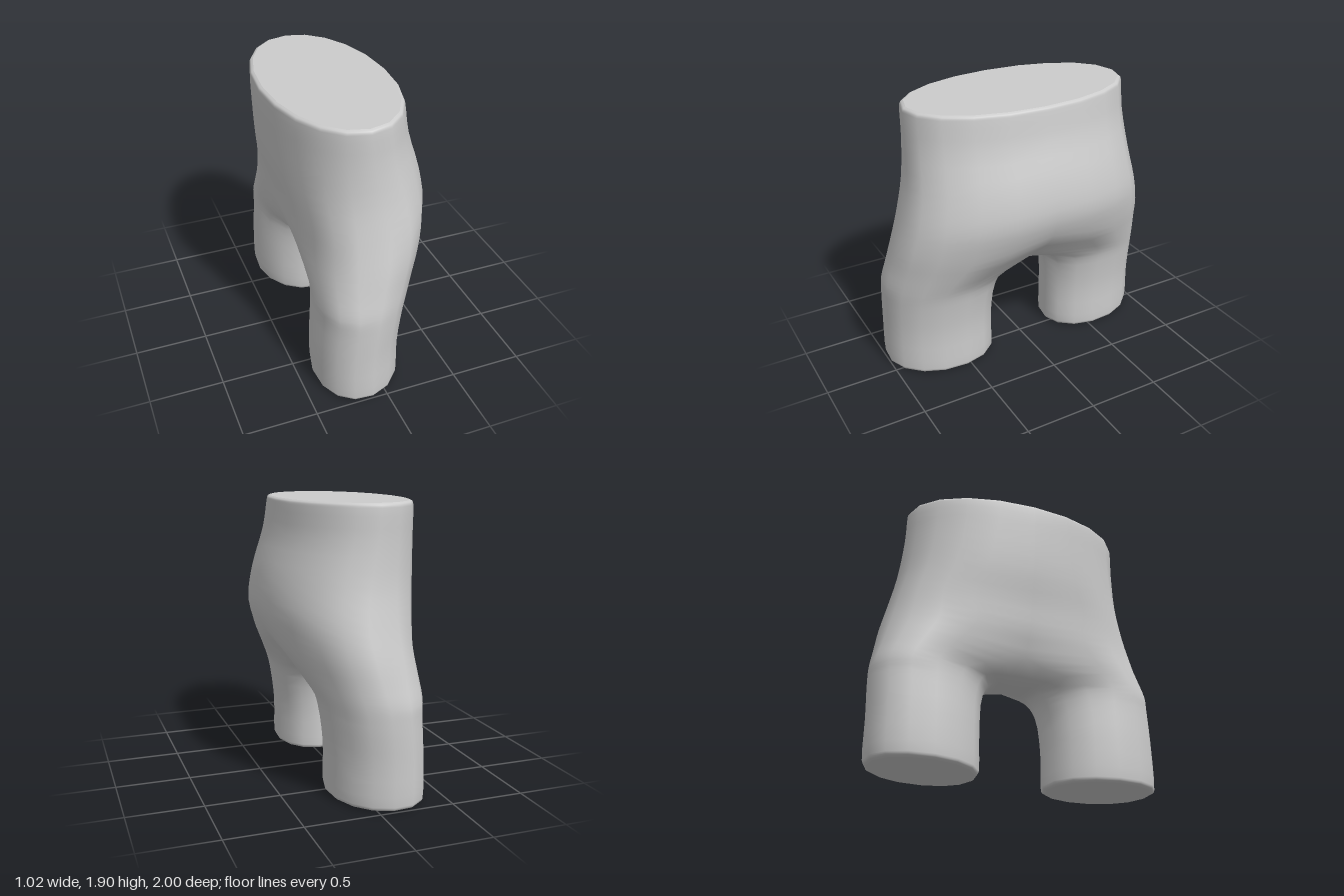
import * as THREE from 'three';
import { mergeVertices } from 'three/addons/utils/BufferGeometryUtils.js';

const OUTER = 10, INNER = 5, AROUND = OUTER + INNER, SUB = 3;
const LEG_Z = 0.622, LEG_SKEW = 0.16;
const rad = THREE.MathUtils.degToRad;
// Sine and cosine with an exponent; below 1 the oval gets squarer
const power = (v, e) => Math.sign(v) * Math.abs(v) ** e;

// Leg sections: y, min x, max x, inner z, outer z
const legKeys = [
  [0, -0.375, 0.178, 0.27, 0.972],
  [0.01, -0.392, 0.195, 0.253, 0.99],
  [0.03, -0.4, 0.203, 0.245, 0.998],
  [0.3, -0.4, 0.203, 0.245, 0.998],
  [0.56, -0.385, 0.235, 0.215, 0.998],
  [0.66, -0.385, 0.26, 0.14, 0.992],
];
// Body sections: y, min x, max x, outer z, half sweep in degrees, -x exponent
const bodyKeys = [
  [0.97, -0.405, 0.43, 0.928, 104, 0.74],
  [1.17, -0.43, 0.505, 0.875, 92, 0.72],
  [1.4, -0.475, 0.485, 0.825, 90, 0.82],
  [1.67, -0.5, 0.4, 0.8, 90, 0.93],
  [1.87, -0.505, 0.366, 0.795, 90, 0.96],
  [1.89, -0.498, 0.359, 0.788, 90, 0.96],
  [1.9, -0.48, 0.341, 0.77, 90, 0.96],
];
const FORK = legKeys.length * SUB; // row where the legs join

// Slightly skewed oval with its own inner and outer depth
function legPoint([y, x0, x1, z0, z1], j) {
  const a = rad(-120 + (360 * j) / AROUND);
  const dx = ((x1 - x0) / 2) * power(Math.sin(a), 0.95);
  const c = power(Math.cos(a), 0.95);
  const depth = c > 0 ? z1 - LEG_Z : LEG_Z - z0;
  return new THREE.Vector3((x0 + x1) / 2 + dx, y, LEG_Z + depth * c - LEG_SKEW * dx);
}

// Half oval, squarer towards -x
function bodyPoint([y, x0, x1, z1, sweep, e], j) {
  const a = rad(sweep * ((2 * j) / OUTER - 1));
  const n = a < 0 ? e : 0.96;
  const c = power(Math.cos(rad(sweep)), n);
  return new THREE.Vector3(
    (x0 + x1) / 2 + ((x1 - x0) / 2) * power(Math.sin(a), n), y,
    (z1 * (power(Math.cos(a), n) - c)) / (1 - c));
}

// Where legs and body meet: halfway between them outside,
// and a saddle sagging from front to back between the legs
function forkPoint(j) {
  if (j > 0 && j < OUTER) {
    return legPoint(legKeys[legKeys.length - 1], j).lerp(bodyPoint(bodyKeys[0], j), 0.45);
  }
  const s = j === 0 ? -1 : 1 - (2 * (j - OUTER)) / INNER;
  return new THREE.Vector3(-0.045 + 0.28 * s, 0.655 + 0.145 * s * s, 0);
}

// One smooth column of points running up from the foot
function column(j) {
  const keys = [...legKeys.map(k => legPoint(k, j)), forkPoint(j)];
  if (j <= OUTER) keys.push(...bodyKeys.map(k => bodyPoint(k, j)));
  const points = new THREE.CatmullRomCurve3(keys).getPoints((keys.length - 1) * SUB);
  points.forEach((p, row) => {
    const onSeam = row >= FORK && (j % OUTER === 0 || j > OUTER);
    p.z = onSeam ? 0 : Math.max(0, p.z);
  });
  return points;
}

// Half skin, mirrored across z = 0 and welded for smooth shading
function skinGeometry(columns) {
  const positions = [];
  const triangle = (a, b, c) => {
    for (const p of [a, b, c]) positions.push(p.x, p.y, p.z);
    for (const p of [a, c, b]) positions.push(p.x, p.y, -p.z);
  };
  const rows = columns[0].length - 1;
  for (let row = 0; row < rows; row++) {
    const count = row < FORK ? AROUND : OUTER;
    for (let j = 0; j < count; j++) {
      const l = columns[j], r = columns[(j + 1) % AROUND];
      triangle(l[row], r[row], r[row + 1]);
      triangle(l[row], r[row + 1], l[row + 1]);
    }
  }
  const raw = new THREE.BufferGeometry();
  raw.setAttribute('position', new THREE.Float32BufferAttribute(positions, 3));
  const geometry = mergeVertices(raw, 1e-4);
  geometry.computeVertexNormals();
  return geometry;
}

// Flat cap, facing up or down
function capGeometry(points, up, y) {
  const sign = up ? -1 : 1;
  const shape = new THREE.Shape(points.map(p => new THREE.Vector2(p.x, sign * p.z)));
  return new THREE.ShapeGeometry(shape).rotateX((sign * Math.PI) / 2).translate(0, y, 0);
}

export function createModel() {
  const group = new THREE.Group();
  group.name = 'lowerBody';
  const material = new THREE.MeshStandardMaterial({ color: 0xcccccc });
  const add = (name, geometry) => {
    const mesh = new THREE.Mesh(geometry, material);
    mesh.name = name;
    group.add(mesh);
  };
  const mirror = p => new THREE.Vector3(p.x, p.y, -p.z);

  // Hips and legs in one skin
  const columns = Array.from({ length: AROUND }, (_, j) => column(j));
  add('hipsAndLegs', skinGeometry(columns));

  // Flat cut at the waist
  const half = columns.slice(0, OUTER + 1).map(c => c[c.length - 1]);
  const waist = [...half, ...half.slice(1, -1).reverse().map(mirror)];
  add('waistCap', capGeometry(waist, true, 1.9));

  // Flat cuts at the bottom of the legs
  const foot = columns.map(c => c[0]);
  add('legCap1', capGeometry(foot, false, 0));
  add('legCap2', capGeometry(foot.map(mirror), false, 0));
  return group;
}
